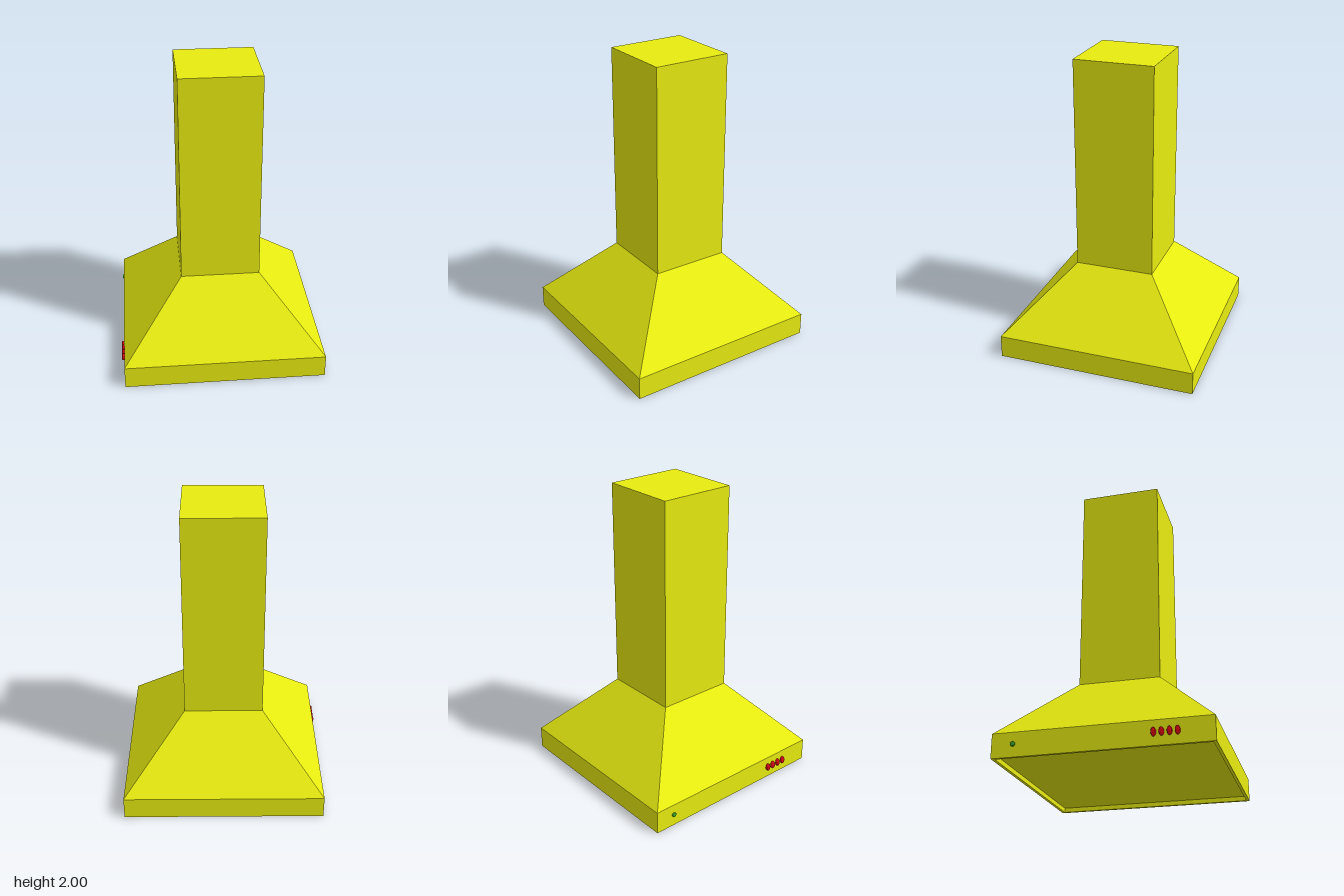
import * as THREE from 'three';

const yellow = new THREE.MeshStandardMaterial({ color: 0xe8ec10 });
const red = new THREE.MeshStandardMaterial({ color: 0xe00812 });
const green = new THREE.MeshStandardMaterial({ color: 0x3aa81c });

const CENTER_X = 0.006; // shell sits slightly off centre because of the buttons
const SIDE_X = -0.665; // plane of the control side
const CONTROL_Y = 0.08;

// Square-section solid: profile of [half width, height] turned in four steps
function squareLathe(name, profile) {
  const points = profile.map(([half, y]) => new THREE.Vector2(half * Math.SQRT2, y));
  const geometry = new THREE.LatheGeometry(points, 4, Math.PI / 4).toNonIndexed();
  geometry.computeVertexNormals();
  const mesh = new THREE.Mesh(geometry, yellow);
  mesh.name = name;
  mesh.position.x = CENTER_X;
  return mesh;
}

// Oval button with a bevelled cap, pointing to -x
function button(name, z, width, height, depth, material) {
  const bevel = depth * 0.3;
  const profile = [[1, 0], [1, depth - bevel], [0.8, depth], [0, depth]]
    .map(([r, y]) => new THREE.Vector2(r, y));
  const geometry = new THREE.LatheGeometry(profile, 20);
  geometry.scale(height / 2, 1, width / 2);
  geometry.rotateZ(Math.PI / 2);
  const mesh = new THREE.Mesh(geometry, material);
  mesh.name = name;
  mesh.position.set(SIDE_X + 0.002, CONTROL_Y, z);
  return mesh;
}

export function createModel() {
  const group = new THREE.Group();
  group.name = 'rangeHood';

  // Chimney duct
  group.add(squareLathe('chimney', [[0.265, 0.585], [0.265, 2], [0, 2]]));

  // Sloped canopy with its straight lower band and thin bottom rim
  group.add(squareLathe('canopy', [
    [0.65, 0.03], [0.65, 0], [0.67, 0], [0.67, 0.153], [0.265, 0.585],
  ]));

  // Recessed filter panel underneath
  group.add(squareLathe('filterPanel', [[0, 0.03], [0.65, 0.03]]));

  // Row of control buttons and the indicator lamp on the right side
  for (let i = 0; i < 4; i++) {
    group.add(button('controlButton' + (i + 1), 0.312 + i * 0.047, 0.03, 0.052, 0.019, red));
  }
  group.add(button('indicatorLamp', -0.535, 0.03, 0.03, 0.011, green));

  return group;
}
